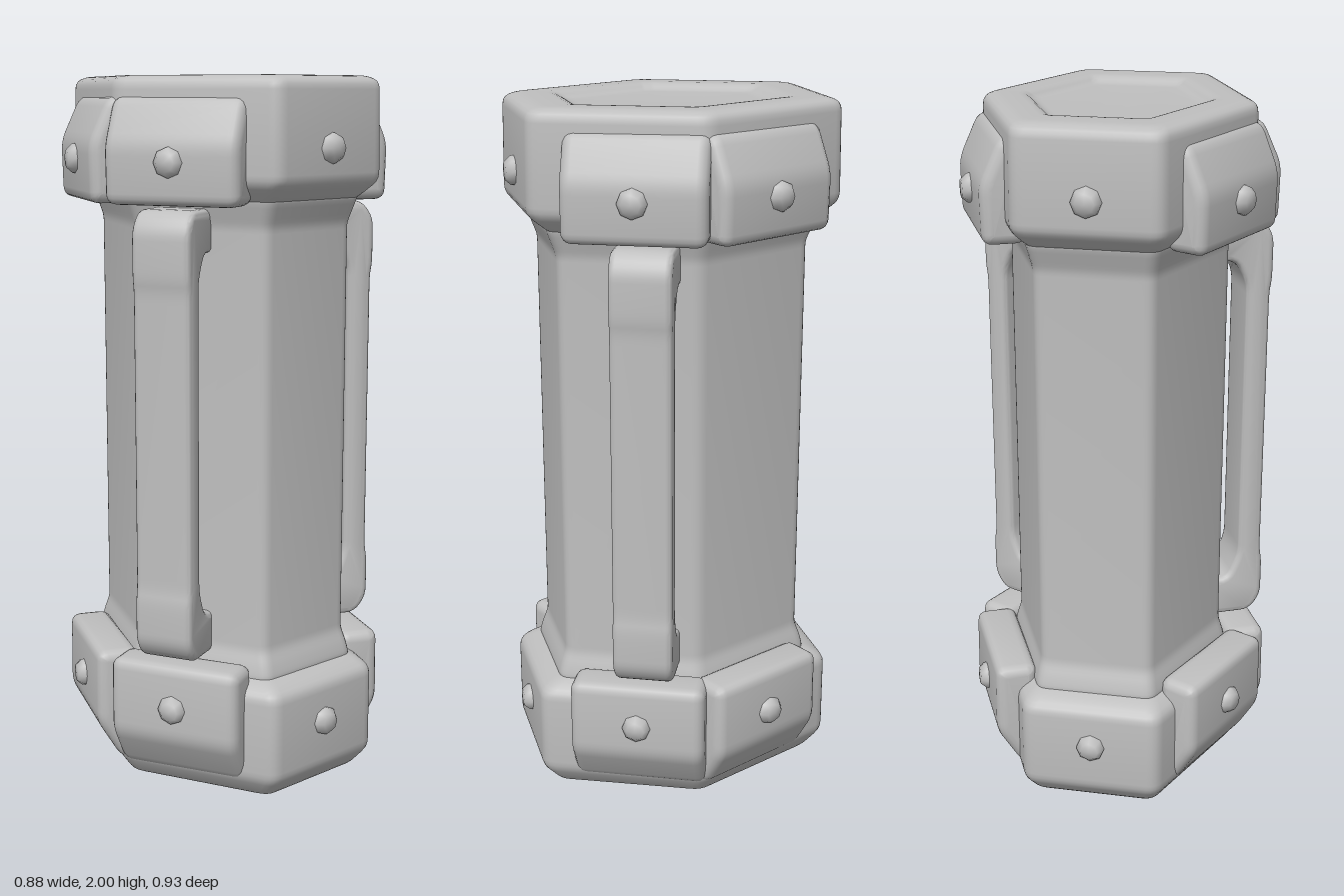
import * as THREE from 'three';
import { toCreasedNormals } from 'three/addons/utils/BufferGeometryUtils.js';

const SIDE_ANGLE = 0.427; // direction of the slanted hexagon sides, measured from x

// Softens every corner of a polyline of [u, v] pairs
function roundCorners(points, radius, closed = true, steps = 4) {
  const v = points.map(([a, b]) => new THREE.Vector2(a, b));
  const n = v.length, out = [];
  v.forEach((c, i) => {
    if (!closed && (i === 0 || i === n - 1)) { out.push(c); return; }
    const p = v[(i + n - 1) % n], q = v[(i + 1) % n];
    const toward = (e) => c.clone().lerp(e, Math.min(0.45, radius / c.distanceTo(e)));
    out.push(...new THREE.QuadraticBezierCurve(toward(p), c, toward(q)).getPoints(steps));
  });
  return out;
}

// Six-sided lathe: profile is [half depth, y], from bottom to top
function hexLoft(profile, radius) {
  const rows = roundCorners(profile, radius, false, 3);
  const unit = [[0.885, 0], [0.445, 1], [-0.445, 1], [-0.885, 0], [-0.445, -1], [0.445, -1]];
  const ring = roundCorners(unit, 0.07);
  const n = ring.length, pos = [], index = [];
  rows.forEach((r, i) => {
    ring.forEach((p, j) => {
      pos.push(p.x * r.x, r.y, p.y * r.x);
      if (i === rows.length - 1) return;
      const a = i * n + j, b = i * n + (j + 1) % n;
      index.push(a, a + n, b, b, a + n, b + n);
    });
  });
  const g = new THREE.BufferGeometry();
  g.setAttribute('position', new THREE.Float32BufferAttribute(pos, 3));
  g.setIndex(index);
  return toCreasedNormals(g, 0.75);
}

// Side outline [outward, y] extruded across the face with soft ends
function softExtrude(outline, radius, width, bevel) {
  const g = new THREE.ExtrudeGeometry(new THREE.Shape(roundCorners(outline, radius)), {
    depth: width - 2 * bevel, bevelEnabled: true, bevelSize: bevel, bevelOffset: -bevel,
    bevelThickness: bevel, bevelSegments: 4,
  });
  g.translate(0, 0, bevel - width / 2);
  return toCreasedNormals(g, 0.75);
}

export function createModel() {
  const model = new THREE.Group();
  const grey = new THREE.MeshStandardMaterial({ color: 0xbfbfbf });
  grey.name = 'plainGrey';

  function add(geometry, name, parent = model) {
    const mesh = new THREE.Mesh(geometry, grey);
    mesh.name = name;
    parent.add(mesh);
    return mesh;
  }

  // Hexagonal column with slight flares where it enters the caps
  add(hexLoft([
    [0.33, 0.25], [0.38, 0.34], [0.37, 0.38], [0.355, 0.42],
    [0.355, 1.6], [0.37, 1.64], [0.385, 1.68], [0.33, 1.75],
  ], 0.015), 'body');

  // End caps with a shallow hexagonal recess
  add(hexLoft([
    [0.001, 0.02], [0.27, 0.02], [0.295, 0.002], [0.385, 0.0],
    [0.44, 0.065], [0.44, 0.31], [0.405, 0.335], [0.33, 0.36],
  ], 0.022), 'bottomCap');
  add(hexLoft([
    [0.33, 1.64], [0.38, 1.67], [0.44, 1.72], [0.436, 1.985],
    [0.4, 2.0], [0.3, 2.0], [0.27, 1.98], [0.001, 1.98],
  ], 0.022), 'topCap');

  // Shared shapes for the slanted sides
  const topPlate = softExtrude([
    [0.3, 1.66], [0.418, 1.66], [0.422, 1.82], [0.365, 1.945], [0.3, 1.945],
  ], 0.03, 0.39, 0.03);
  const bottomPlate = softExtrude([
    [0.3, 0.385], [0.3, 0.05], [0.35, 0.05], [0.422, 0.17], [0.42, 0.385],
  ], 0.03, 0.39, 0.03);
  const handle = softExtrude([
    [0.26, 0.4], [0.4, 0.4], [0.437, 0.45], [0.437, 0.57], [0.43, 0.61],
    [0.43, 1.43], [0.437, 1.47], [0.437, 1.6], [0.4, 1.65], [0.26, 1.65],
    [0.26, 1.53], [0.325, 1.53], [0.36, 1.46],
    [0.36, 0.6], [0.325, 0.52], [0.26, 0.52],
  ], 0.03, 0.17, 0.018);
  // Faceted dome stud pointing along +x
  const stud = toCreasedNormals(new THREE.LatheGeometry([
    new THREE.Vector2(0.044, -0.02), new THREE.Vector2(0.04, 0.008),
    new THREE.Vector2(0.026, 0.024), new THREE.Vector2(0, 0.026),
  ], 8), 0.9).rotateZ(-Math.PI / 2);

  // Plates and studs on four slanted sides, handles on the front two
  for (const sx of [1, -1]) {
    for (const sz of [1, -1]) {
      const side = new THREE.Group();
      side.name = (sz > 0 ? 'front' : 'back') + (sx > 0 ? 'Left' : 'Right') + 'Side';
      side.rotation.y = -sz * (sx > 0 ? SIDE_ANGLE : Math.PI - SIDE_ANGLE);
      model.add(side);
      const shift = 0.03 * sx * sz;
      add(topPlate, 'topPlate', side).position.z = shift;
      add(bottomPlate, 'bottomPlate', side).position.z = shift;
      add(stud, 'topStud', side).position.set(0.42, 1.775, shift);
      add(stud, 'bottomStud', side).position.set(0.42, 0.26, shift);
      if (sz > 0) add(handle, 'handle', side).position.z = 0.01 * sx;
    }
  }

  // Studs on the front and back faces
  for (const sz of [1, -1]) {
    for (const y of [1.81, 0.2]) {
      const m = add(stud, sz > 0 ? 'frontStud' : 'backStud');
      m.position.set(0, y, sz * 0.44);
      m.rotation.y = -sz * Math.PI / 2;
    }
  }
  return model;
}
